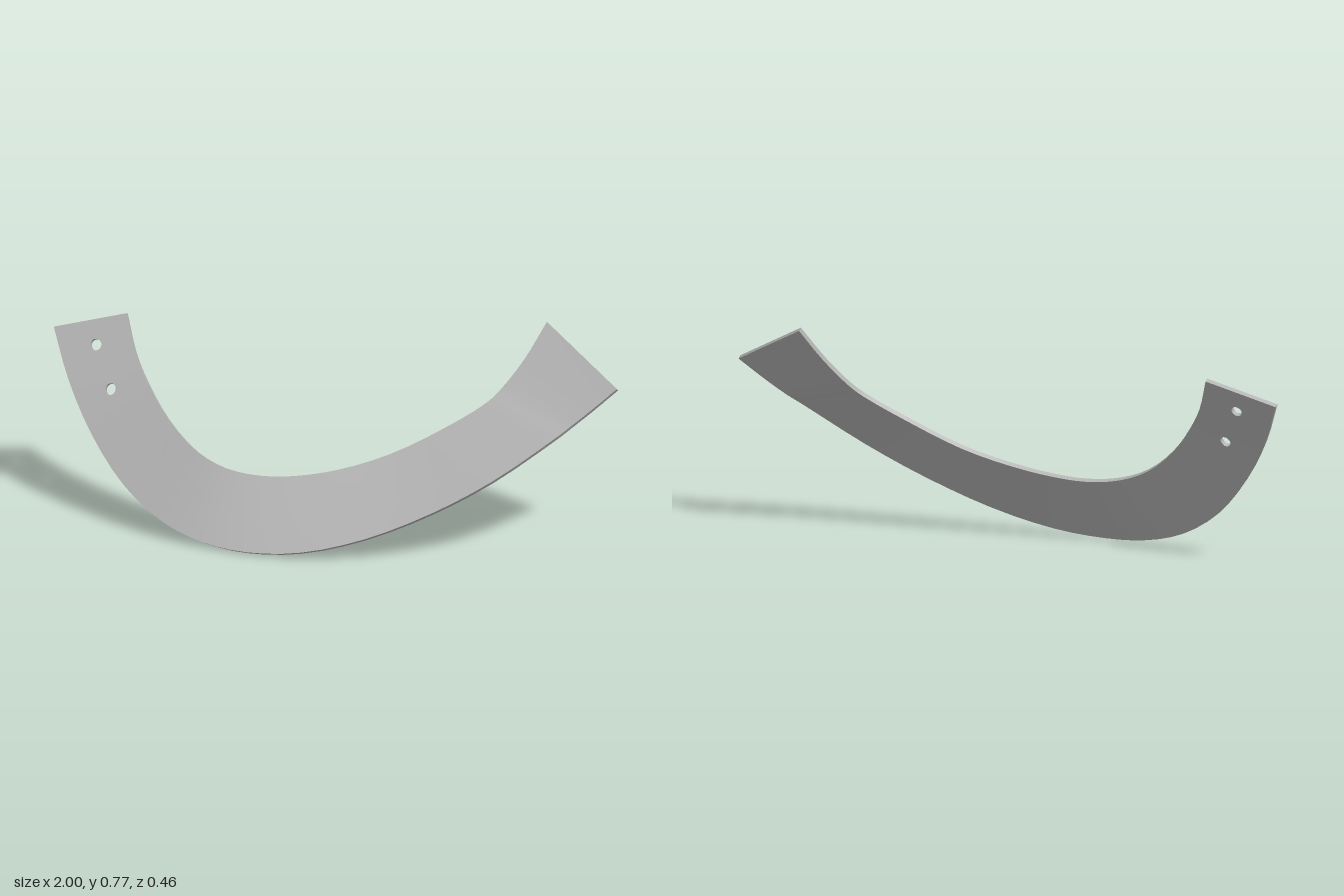
import * as THREE from 'three';
import { mergeVertices } from 'three/addons/utils/BufferGeometryUtils.js';

const THICK = 0.016;
const ROWS = 14, SUB = 3;

// Front-face edges of the strap, paired across its width from end to end
const lowerEdge = [
  [-1, 0.625, -0.18], [-0.93, 0.47, -0.09], [-0.83, 0.31, 0], [-0.7, 0.163, 0.08], [-0.55, 0.065, 0.145],
  [-0.4, 0.02, 0.19], [-0.24, 0.008, 0.22], [-0.05, 0.025, 0.228], [0.17, 0.085, 0.21], [0.4, 0.185, 0.17],
  [0.6, 0.298, 0.118], [0.8, 0.44, 0.04], [0.85, 0.478, 0.012], [0.92, 0.535, -0.018], [1, 0.605, -0.05],
];
const upperEdge = [
  [-0.745, 0.695, -0.18], [-0.7, 0.578, -0.115], [-0.645, 0.49, -0.06], [-0.56, 0.385, 0], [-0.45, 0.297, 0.052],
  [-0.34, 0.253, 0.075], [-0.22, 0.238, 0.08], [-0.1, 0.246, 0.078], [0.05, 0.276, 0.063], [0.22, 0.333, 0.03],
  [0.4, 0.425, -0.015], [0.54, 0.512, -0.065], [0.585, 0.555, -0.095], [0.655, 0.648, -0.15], [0.72, 0.765, -0.22],
];
// Screw holes as [position along the strap, position across it]
const holes = [[0.53, 0.5], [1.53, 0.5]];

const curve = (points) => new THREE.CatmullRomCurve3(points.map((p) => new THREE.Vector3(...p)));
const lower = curve(lowerEdge), upper = curve(upperEdge);

// Point on the front face: s runs along the strap, v across it
function front(s, v) {
  const t = THREE.MathUtils.clamp(s / ROWS, 0, 1);
  return lower.getPoint(t).lerp(upper.getPoint(t), v);
}

// Point on the back face, one thickness behind the front
function back(s, v) {
  const a = Math.max(s - 0.05, 0), b = Math.min(s + 0.05, ROWS);
  const along = front(b, v).sub(front(a, v));
  const across = front(s, 1).sub(front(s, 0));
  return front(s, v).addScaledVector(along.cross(across).normalize(), -THICK);
}

function smoothMesh(name, points, material) {
  const raw = new THREE.BufferGeometry().setFromPoints(points);
  const geometry = mergeVertices(raw, 1e-5);
  geometry.computeVertexNormals();
  const mesh = new THREE.Mesh(geometry, material);
  mesh.name = name;
  return mesh;
}

function holeLoop([s, v]) {
  const loop = [];
  for (let i = 0; i < 20; i++) {
    const a = (i / 20) * Math.PI * 2;
    loop.push(new THREE.Vector2(s + 0.12 * Math.cos(a), v + 0.075 * Math.sin(a)));
  }
  return loop.reverse();
}

// One broad face, triangulated cell by cell so the holes stay open
function face(name, surface, flip, material) {
  const points = [];
  for (let i = 0; i < ROWS * SUB; i++) {
    const s0 = i / SUB, s1 = (i + 1) / SUB;
    const rect = [[s0, 0], [s1, 0], [s1, 1], [s0, 1]].map((p) => new THREE.Vector2(...p));
    const cut = holes.filter(([s]) => s > s0 && s < s1).map(holeLoop);
    const all = [...rect, ...cut.flat()];
    for (const [a, b, c] of THREE.ShapeUtils.triangulateShape(rect, cut)) {
      const order = flip ? [a, c, b] : [a, b, c];
      for (const k of order) points.push(surface(all[k].x, all[k].y));
    }
  }
  return smoothMesh(name, points, material);
}

// Narrow wall joining front and back along a path of [s, v] points
function wall(name, path, material) {
  const points = [];
  for (let i = 0; i < path.length - 1; i++) {
    const a = path[i], b = path[i + 1];
    const fa = front(a.x, a.y), fb = front(b.x, b.y);
    const ba = back(a.x, a.y), bb = back(b.x, b.y);
    points.push(ba, bb, fb, ba, fb, fa);
  }
  return smoothMesh(name, points, material);
}

export function createModel() {
  const model = new THREE.Group();
  model.name = 'curvedStrap';
  const grey = new THREE.MeshStandardMaterial({ color: 0xb4b4b4 });
  grey.name = 'plain grey';

  // Broad faces
  model.add(face('frontFace', front, false, grey), face('backFace', back, true, grey));

  // Long edges
  const bottom = [], top = [];
  for (let i = 0; i <= ROWS * SUB; i++) {
    bottom.push(new THREE.Vector2(i / SUB, 0));
    top.unshift(new THREE.Vector2(i / SUB, 1));
  }
  model.add(wall('lowerRim', bottom, grey), wall('upperRim', top, grey));

  // End caps
  const P = (s, v) => new THREE.Vector2(s, v);
  model.add(wall('leftEnd', [P(ROWS, 0), P(ROWS, 1)], grey));
  model.add(wall('rightEnd', [P(0, 1), P(0, 0)], grey));

  // Screw hole walls
  for (const h of holes) {
    const loop = holeLoop(h);
    model.add(wall('screwHole', [...loop, loop[0]], grey));
  }
  return model;
}
